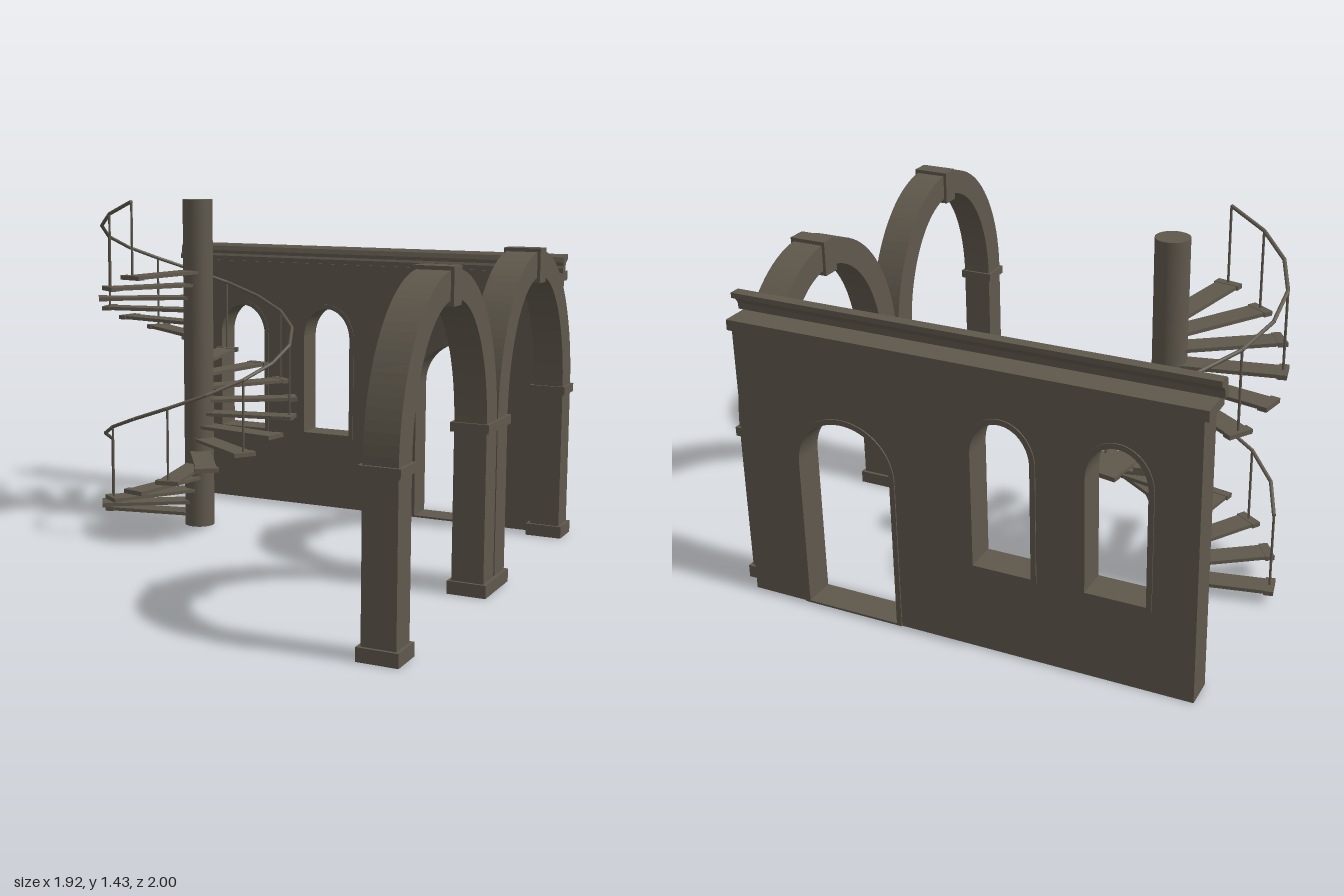
import * as THREE from 'three';

export function createModel() {
  const root = new THREE.Group();
  const stone = new THREE.MeshStandardMaterial({ color: 0x5f584c });
  stone.name = 'dark stone';

  const add = (parent, name, geometry) => {
    const mesh = new THREE.Mesh(geometry, stone);
    mesh.name = name;
    parent.add(mesh);
    return mesh;
  };
  const group = (name) => {
    const g = new THREE.Group();
    g.name = name;
    root.add(g);
    return g;
  };
  // Box given by its limits on each axis
  const block = (parent, name, x0, x1, y0, y1, z0, z1) => {
    const mesh = add(parent, name, new THREE.BoxGeometry(x1 - x0, y1 - y0, z1 - z0));
    mesh.position.set((x0 + x1) / 2, (y0 + y1) / 2, (z0 + z1) / 2);
    return mesh;
  };
  const extrude = (shape, depth) =>
    new THREE.ExtrudeGeometry(shape, { depth, bevelEnabled: false, curveSegments: 24 });
  // Round-headed outline
  const arched = (type, cx, half, y0, spring, top) => {
    const p = new type();
    p.moveTo(cx - half, y0);
    p.lineTo(cx + half, y0);
    p.lineTo(cx + half, spring);
    p.absellipse(cx, spring, half, top - spring, 0, Math.PI, false);
    p.lineTo(cx - half, y0);
    return p;
  };

  // Back wall with two windows and a door
  const wall = group('backWall');
  const openings = [
    { name: 'leftWindowLining', cx: -0.602, half: 0.133, y0: 0.325, spring: 0.78, top: 0.935, sill: 0.015 },
    { name: 'rightWindowLining', cx: -0.173, half: 0.133, y0: 0.325, spring: 0.78, top: 0.935, sill: 0.015 },
    { name: 'doorLining', cx: 0.453, half: 0.208, y0: 0.0, spring: 0.6, top: 0.805, sill: 0.008 },
  ];
  const outline = new THREE.Shape();
  // The door notch is part of the outline, the windows are holes
  const door = openings[2];
  outline.moveTo(-0.895, 0);
  outline.lineTo(door.cx - door.half, 0);
  outline.lineTo(door.cx - door.half, door.spring);
  outline.absellipse(door.cx, door.spring, door.half, door.top - door.spring, Math.PI, 0, true);
  outline.lineTo(door.cx + door.half, 0);
  outline.lineTo(0.885, 0);
  outline.lineTo(0.885, 1.08);
  outline.lineTo(-0.895, 1.08);
  outline.closePath();
  for (const o of openings.slice(0, 2)) {
    outline.holes.push(arched(THREE.Path, o.cx, o.half, o.y0, o.spring, o.top));
  }
  add(wall, 'wallPanel', extrude(outline, 0.115)).position.z = -0.985;

  // Thin linings inside the openings
  for (const o of openings) {
    const ring = arched(THREE.Shape, o.cx, o.half, o.y0, o.spring, o.top);
    ring.holes.push(arched(THREE.Path, o.cx, o.half - 0.02, o.y0 + o.sill, o.spring, o.top - 0.02));
    add(wall, o.name, extrude(ring, 0.123)).position.z = -0.99;
  }

  // Band and moulded cornice along the wall top
  block(wall, 'wallBand', -0.915, 0.895, 1.08, 1.12, -1, -0.855);
  const profile = new THREE.Shape([
    [-0.862, 1.12], [-0.862, 1.14], [-0.868, 1.15], [-0.868, 1.165], [-0.875, 1.185], [-0.888, 1.195],
    [-0.932, 1.195], [-0.932, 1.175], [-0.908, 1.162], [-0.897, 1.145], [-0.895, 1.12],
  ].map(([z, y]) => new THREE.Vector2(z, y)));
  const cornice = add(wall, 'cornice', extrude(profile, 1.845).rotateY(-Math.PI / 2));
  cornice.position.x = 0.915;

  // Two arches standing in line along the left side
  const RX = 0.475, RY = 0.6, SPRING = 0.64, THICK = 0.112;
  for (const [label, cz] of [['frontArch', 0.517], ['rearArch', -0.445]]) {
    const arch = group(label);
    const curve = new THREE.Shape();
    curve.moveTo(RX, SPRING);
    curve.absellipse(0, SPRING, RX, RY, 0, Math.PI, false);
    curve.lineTo(-RX + THICK, SPRING);
    curve.absellipse(0, SPRING, RX - THICK, RY - 0.1, Math.PI, 0, true);
    curve.closePath();
    const ring = add(arch, 'archRing', extrude(curve, 0.125).rotateY(-Math.PI / 2));
    ring.position.set(0.944, 0, cz);
    block(arch, 'keystone', 0.807, 0.956, 1.117, 1.252, cz - 0.038, cz + 0.038);
    for (const side of [-1, 1]) {
      const mid = cz + side * (RX - THICK / 2);
      block(arch, 'pillar', 0.819, 0.944, 0, SPRING, mid - THICK / 2, mid + THICK / 2);
      block(arch, 'pillarBase', 0.805, 0.957, 0, 0.05, mid - 0.068, mid + 0.068);
      block(arch, 'pillarCapital', 0.807, 0.955, 0.615, 0.65, mid - 0.066, mid + 0.066);
    }
  }

  // Spiral staircase round a central column
  const stair = group('spiralStair');
  stair.position.set(-0.535, 0, -0.333);
  add(stair, 'stairColumn', new THREE.CylinderGeometry(0.064, 0.064, 1.42, 32)).position.y = 0.71;

  const STEPS = 20, RAIL_R = 0.408, RAIL_H = 0.31;
  const angle = (i) => (11.25 + 22.5 * i) * Math.PI / 180;
  const height = (i) => 0.049 + 0.056 * i;
  const rim = (i, lift) => new THREE.Vector3(
    -RAIL_R * Math.cos(angle(i)), height(i) + lift, RAIL_R * Math.sin(angle(i)));
  // Round bar between two points
  const rod = (name, a, b, r) => {
    const dir = b.clone().sub(a);
    const mesh = add(stair, name, new THREE.CylinderGeometry(r, r, dir.length(), 8));
    mesh.position.copy(a).addScaledVector(dir, 0.5);
    mesh.quaternion.setFromUnitVectors(new THREE.Vector3(0, 1, 0), dir.normalize());
  };

  for (let i = 0; i < STEPS; i++) {
    const step = new THREE.Group();
    step.name = 'step';
    step.position.y = height(i);
    step.rotation.y = angle(i);
    stair.add(step);
    block(step, 'tread', -0.415, -0.04, -0.007, 0.007, -0.044, 0.044);
    block(step, 'treadEnd', -0.426, -0.39, -0.009, 0.009, -0.05, 0.05);
    if (i % 2 === 0 || i === STEPS - 1) rod('railPost', rim(i, 0), rim(i, RAIL_H), 0.005);
    if (i > 0) rod('handrail', rim(i - 1, RAIL_H), rim(i, RAIL_H), 0.0075);
  }
  return root;
}
